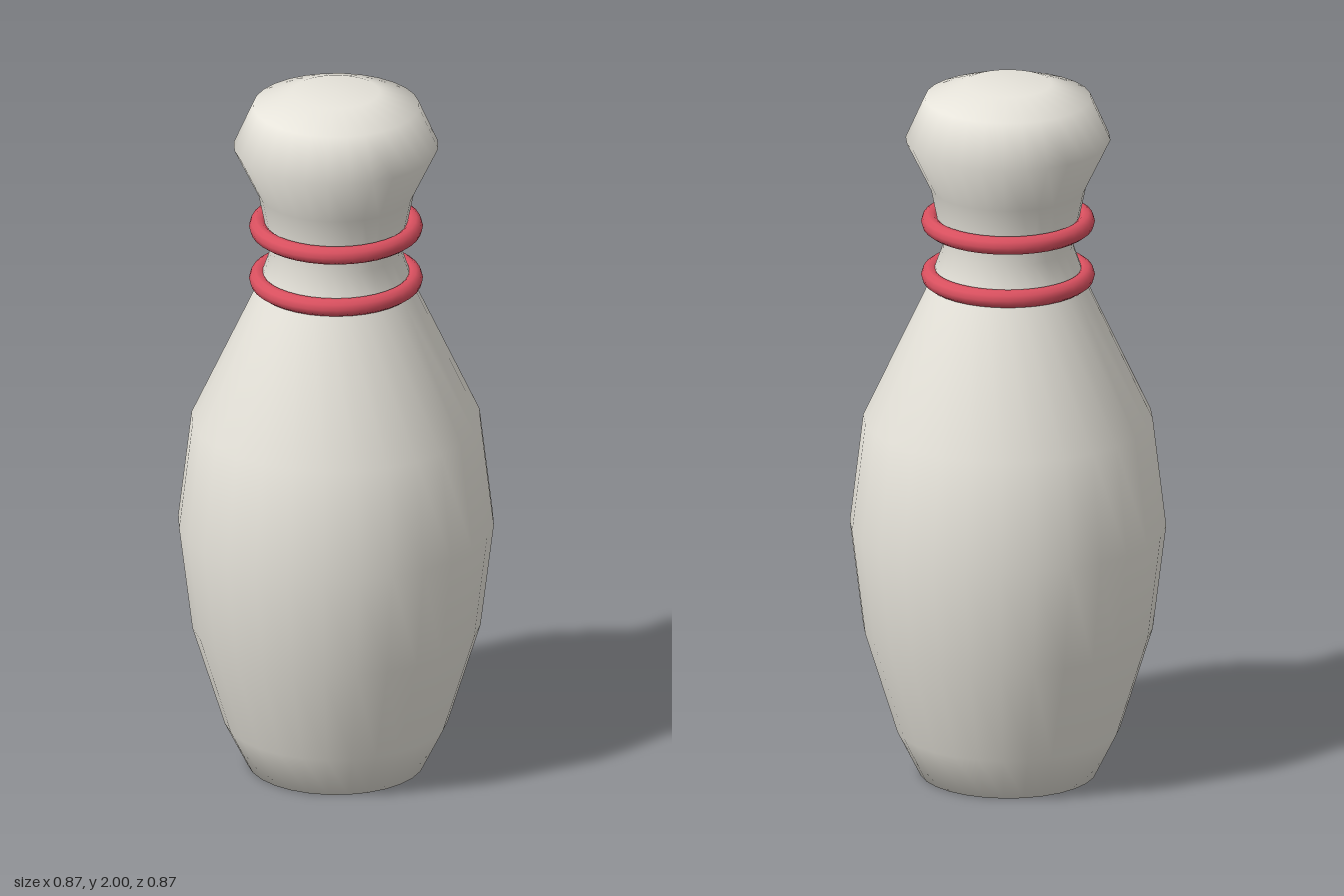
import * as THREE from 'three';

export function createModel() {
  const model = new THREE.Group();
  model.name = 'bowlingPin';

  const ivory = new THREE.MeshStandardMaterial({ color: 0xe8e5dc });
  ivory.name = 'ivory';
  const red = new THREE.MeshStandardMaterial({ color: 0xd9505f });
  red.name = 'red';

  // Pin body: [radius, height] from base to crown
  const profile = [
    [0, 0], [0.245, 0], [0.31, 0.13], [0.4, 0.42], [0.437, 0.72], [0.4, 1.03],
    [0.22, 1.415], [0.18, 1.53], [0.215, 1.7], [0.283, 1.84],
    [0.23, 1.96], [0.12, 2], [0, 2],
  ].map(([r, y]) => new THREE.Vector2(r, y));
  const body = new THREE.Mesh(new THREE.LatheGeometry(profile, 28), ivory);
  body.name = 'body';
  model.add(body);

  // Two neck rings
  const ringGeometry = new THREE.TorusGeometry(0.215, 0.025, 10, 36).rotateX(Math.PI / 2);
  for (const [name, y] of [['lowerRing', 1.445], ['upperRing', 1.6]]) {
    const ring = new THREE.Mesh(ringGeometry, red);
    ring.name = name;
    ring.position.y = y;
    model.add(ring);
  }

  return model;
}
